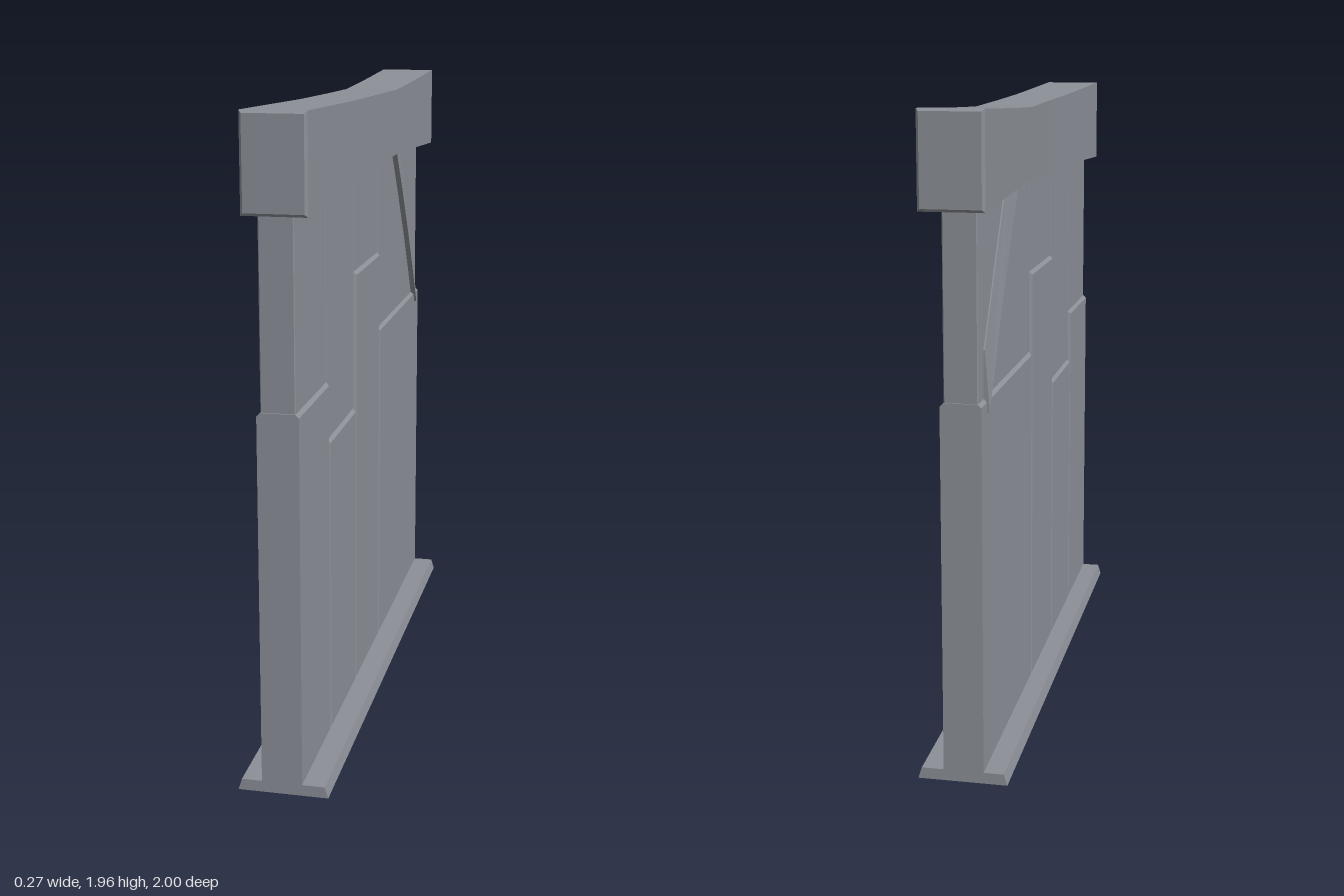
import * as THREE from 'three';

const CENTRE = -0.003; // middle of the wall in x
const FRONT = 0.995, BACK = -0.893;
const BEVEL = 0.01;

const material = new THREE.MeshStandardMaterial({ color: 0x8c9097, flatShading: true });

function addMesh(group, name, geometry) {
  const mesh = new THREE.Mesh(geometry, material);
  mesh.name = name;
  group.add(mesh);
}

// Extrudes a [z, y] outline across x, centred on the wall
function acrossWall(outline, width, bevel = 0) {
  const shape = new THREE.Shape(outline.map(([z, y]) => new THREE.Vector2(z, y)));
  const geometry = new THREE.ExtrudeGeometry(shape, {
    depth: width - 2 * bevel,
    bevelEnabled: bevel > 0,
    bevelSize: bevel, bevelThickness: bevel, bevelOffset: -bevel, bevelSegments: 1,
  });
  geometry.translate(0, 0, -(width - 2 * bevel) / 2);
  geometry.rotateY(-Math.PI / 2);
  geometry.translate(CENTRE, 0, 0);
  return geometry;
}

const rect = (z0, z1, y0, y1) => [[z0, y0], [z1, y0], [z1, y1], [z0, y1]];

// Panel with chamfered edges, cut square at the two ends of the wall
function panelGeometry(z0, z1, height) {
  const a = z0 === BACK ? z0 - BEVEL : z0;
  const b = z1 === FRONT ? z1 + BEVEL : z1;
  const geometry = acrossWall(rect(a, b, 0.01, height), 0.12, BEVEL);
  const p = geometry.attributes.position;
  for (let i = 0; i < p.count; i++) p.setZ(i, THREE.MathUtils.clamp(p.getZ(i), BACK, FRONT));
  geometry.computeVertexNormals();
  return geometry;
}

// Curved brace, proud of the wall along its lower edge and nearly flush along its upper edge
function braceGeometry() {
  const lower = [[-0.82, 1.1], [-0.73, 1.245], [-0.63, 1.395], [-0.51, 1.56], [-0.4, 1.7], [-0.36, 1.75]];
  const upper = [[-0.495, 1.75], [-0.82, 1.28]];
  const geometry = acrossWall([...lower, ...upper], 0.136);
  const p = geometry.attributes.position;
  for (let i = 0; i < p.count; i++) {
    const onUpper = upper.some(([z, y]) => Math.hypot(p.getZ(i) - z, p.getY(i) - y) < 1e-4);
    if (onUpper) p.setX(i, CENTRE + Math.sign(p.getX(i) - CENTRE) * 0.054);
  }
  geometry.computeVertexNormals();
  return geometry;
}

// Linear interpolation through [z, value] points sorted by z
function sample(points, z) {
  let i = 1;
  while (i < points.length - 1 && z > points[i][0]) i++;
  const [z0, v0] = points[i - 1], [z1, v1] = points[i];
  return THREE.MathUtils.lerp(v0, v1, THREE.MathUtils.clamp((z - z0) / (z1 - z0), 0, 1));
}

// Chamfered beam that sags and thins toward its middle
function beamGeometry() {
  const top = [[-1, 1.955], [-0.63, 1.938], [-0.3, 1.926], [0.35, 1.938], [1, 1.957]];
  const bottom = [[-1, 1.683], [-0.63, 1.699], [-0.3, 1.71], [0.35, 1.7], [1, 1.678]];
  const halfWidth = [[-1, 0.093], [0, 0.084], [1, 0.093]];
  const c = 0.008;
  const shape = new THREE.Shape(
    [[-1, -1], [1, -1], [1, 1], [-1, 1]].map(([x, y]) => new THREE.Vector2(x * 0.093, y * 0.135)));
  const geometry = new THREE.ExtrudeGeometry(shape, {
    depth: 2 - 2 * c, steps: 20,
    bevelSize: c, bevelThickness: c, bevelOffset: -c, bevelSegments: 1,
  });
  geometry.translate(0, 0, -1 + c);
  const p = geometry.attributes.position;
  for (let i = 0; i < p.count; i++) {
    const z = p.getZ(i);
    const t = (p.getY(i) + 0.135) / 0.27;
    p.setX(i, CENTRE - 0.003 + p.getX(i) / 0.093 * sample(halfWidth, z));
    p.setY(i, THREE.MathUtils.lerp(sample(bottom, z), sample(top, z), t));
  }
  geometry.computeVertexNormals();
  return geometry;
}

export function createModel() {
  const model = new THREE.Group();
  model.name = 'wall';

  // Foot with sloping sides
  const foot = new THREE.BoxGeometry(0.268, 0.034, FRONT - BACK);
  const p = foot.attributes.position;
  for (let i = 0; i < p.count; i++) if (p.getY(i) > 0) p.setX(i, p.getX(i) * 0.92);
  foot.translate(0, 0.017, (FRONT + BACK) / 2);
  foot.computeVertexNormals();
  addMesh(model, 'foot', foot);

  // Thick lower panels of uneven height, with thinner upper panels set just inside the wall ends
  const panels = [[0.62, FRONT, 1.14], [0.245, 0.62, 0.96], [-0.14, 0.245, 1.4], [BACK, -0.14, 1.14]];
  for (const [z0, z1, height] of panels) {
    addMesh(model, 'lowerPanel', panelGeometry(z0, z1, height));
    const back = Math.max(z0, BACK + 0.005), front = Math.min(z1, FRONT - 0.005);
    addMesh(model, 'upperPanel', acrossWall(rect(back, front, 0.02, 1.74), 0.1, 0.003));
  }

  addMesh(model, 'brace', braceGeometry());
  addMesh(model, 'beam', beamGeometry());
  return model;
}
